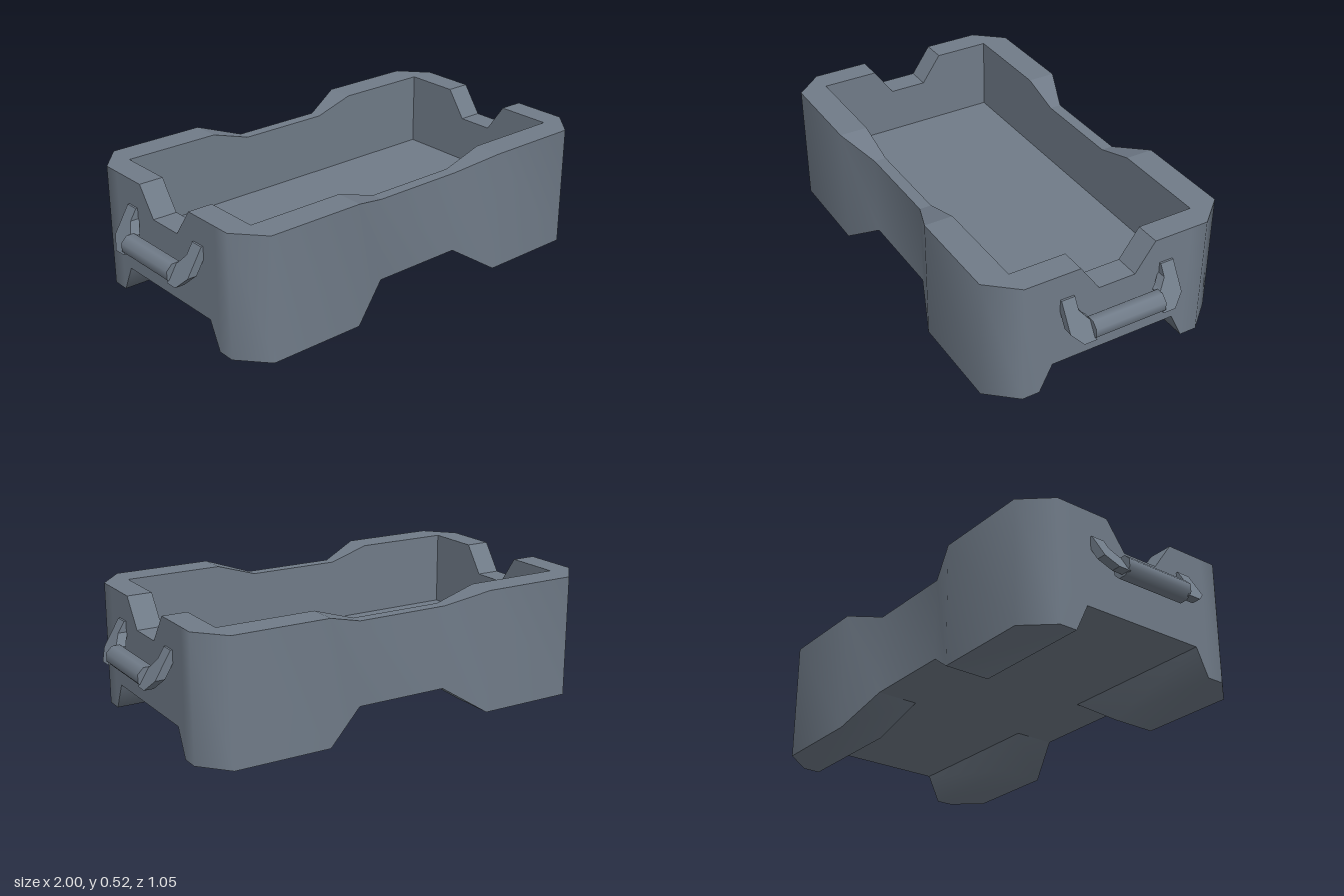
import * as THREE from 'three';

const FLOOR = 0.115, TRAY = 0.2;
const IN_X = 0.79, IN_Z = 0.405;

// One quarter of the body outline: x, z, lower edge y, upper edge y
const QUARTER = [
  [0.895, 0.08, FLOOR, 0.4], [0.895, 0.165, FLOOR, 0.52],
  [0.895, 0.275, FLOOR, 0.52], [0.895, 0.33, 0, 0.52],
  [0.895, 0.405, 0, 0.52], [0.79, 0.525, 0, 0.52],
  [0.375, 0.525, 0, 0.52], [0.2, 0.455, FLOOR, 0.465],
];

function indexed(points, index, smooth) {
  let geo = new THREE.BufferGeometry();
  geo.setAttribute('position', new THREE.Float32BufferAttribute(points.flat(), 3));
  geo.setIndex(index);
  if (!smooth) geo = geo.toNonIndexed();
  geo.computeVertexNormals();
  return geo;
}

// Closed band of quads between two loops of equal length
function band(a, b, smooth) {
  const n = a.length, index = [];
  for (let i = 0; i < n; i++) {
    const j = (i + 1) % n;
    index.push(i, n + i, n + j, i, n + j, j);
  }
  return indexed([...a, ...b], index, smooth);
}

// Corner foot: flat sole with sloped inner sides, mirrored per corner
function footGeometry(sx, sz) {
  const points = [
    [0.895, FLOOR, 0.275], [0.2, FLOOR, 0.275], [0.2, FLOOR, 0.455],
    [0.895, 0, 0.33], [0.375, 0, 0.33], [0.375, 0, 0.525],
    [0.79, 0, 0.525], [0.895, 0, 0.405],
  ].map(([x, y, z]) => [x * sx, y, z * sz]);
  const index = [
    0, 3, 4, 0, 4, 1, // long slope
    1, 4, 5, 1, 5, 2, // waist slope
    3, 7, 6, 3, 6, 5, 3, 5, 4, // sole
  ];
  if (sx * sz < 0) index.reverse();
  return indexed(points, index, true);
}

// Bent handle arm, drawn in z and y, then leaned outward from the wall
function armGeometry(side) {
  const outline = [
    [0.25, 0.41], [0.25, 0.3], [0.205, 0.255], [0.15, 0.255],
    [0.15, 0.32], [0.163, 0.33], [0.192, 0.365], [0.192, 0.41],
  ].map(([z, y]) => new THREE.Vector2(-z * side, y));
  const geo = new THREE.ExtrudeGeometry(new THREE.Shape(outline), { depth: 0.04, bevelEnabled: false });
  geo.translate(0, 0, -0.02).rotateY(Math.PI / 2);
  const p = geo.attributes.position;
  for (let i = 0; i < p.count; i++) {
    p.setX(i, p.getX(i) + 0.957 - (p.getY(i) - 0.287) * 0.6);
  }
  geo.computeVertexNormals();
  return geo;
}

export function createModel() {
  const model = new THREE.Group();
  model.name = 'tray';
  const grey = new THREE.MeshStandardMaterial({ color: 0x707b88 });
  grey.name = 'slate grey';
  const add = (name, geo, parent = model) => {
    const mesh = new THREE.Mesh(geo, grey);
    mesh.name = name;
    parent.add(mesh);
    return mesh;
  };

  // Full outline from four mirrored quarters
  const outline = [];
  for (const [sx, sz] of [[1, 1], [-1, 1], [-1, -1], [1, -1]]) {
    const part = QUARTER.map(([x, z, lo, hi]) => [x * sx, z * sz, lo, hi]);
    outline.push(...(sx * sz > 0 ? part : part.reverse()));
  }
  const inside = ([x, z]) => [
    THREE.MathUtils.clamp(x, -IN_X, IN_X), THREE.MathUtils.clamp(z, -IN_Z, IN_Z),
  ];
  const low = outline.map(([x, z, lo]) => [x, lo, z]);
  const high = outline.map(([x, z, , hi]) => [x, hi, z]);
  const innerHigh = outline.map((o) => { const [x, z] = inside(o); return [x, o[3], z]; });
  const innerLow = innerHigh.map(([x, , z]) => [x, TRAY, z]);

  // Shell
  add('outerWall', band(low, high, true));
  add('rim', band(high, innerHigh, false));
  add('cavityWall', band(innerHigh, innerLow, false));
  add('cavityFloor', new THREE.PlaneGeometry(2 * IN_X, 2 * IN_Z).rotateX(-Math.PI / 2)).position.y = TRAY;

  // Cross-shaped underside between the feet
  const cross = [
    [0.895, -0.275], [0.895, 0.275], [0.2, 0.275], [0.2, 0.455], [-0.2, 0.455], [-0.2, 0.275],
    [-0.895, 0.275], [-0.895, -0.275], [-0.2, -0.275], [-0.2, -0.455], [0.2, -0.455], [0.2, -0.275],
  ].map(([x, z]) => new THREE.Vector2(x, z));
  add('underside', new THREE.ShapeGeometry(new THREE.Shape(cross)).rotateX(Math.PI / 2)).position.y = FLOOR;

  // Feet
  for (const sx of [1, -1]) for (const sz of [1, -1]) add('foot', footGeometry(sx, sz));

  // Carrying handles at both ends
  for (const turn of [0, Math.PI]) {
    const handle = new THREE.Group();
    handle.name = turn ? 'rightHandle' : 'leftHandle';
    handle.rotation.y = turn;
    for (const side of [1, -1]) add('handleArm', armGeometry(side), handle);
    const grip = new THREE.CylinderGeometry(0.045, 0.045, 0.314, 8);
    grip.rotateY(Math.PI / 8).rotateX(Math.PI / 2);
    add('handleGrip', grip, handle).position.set(0.957, 0.287, 0);
    model.add(handle);
  }
  return model;
}
